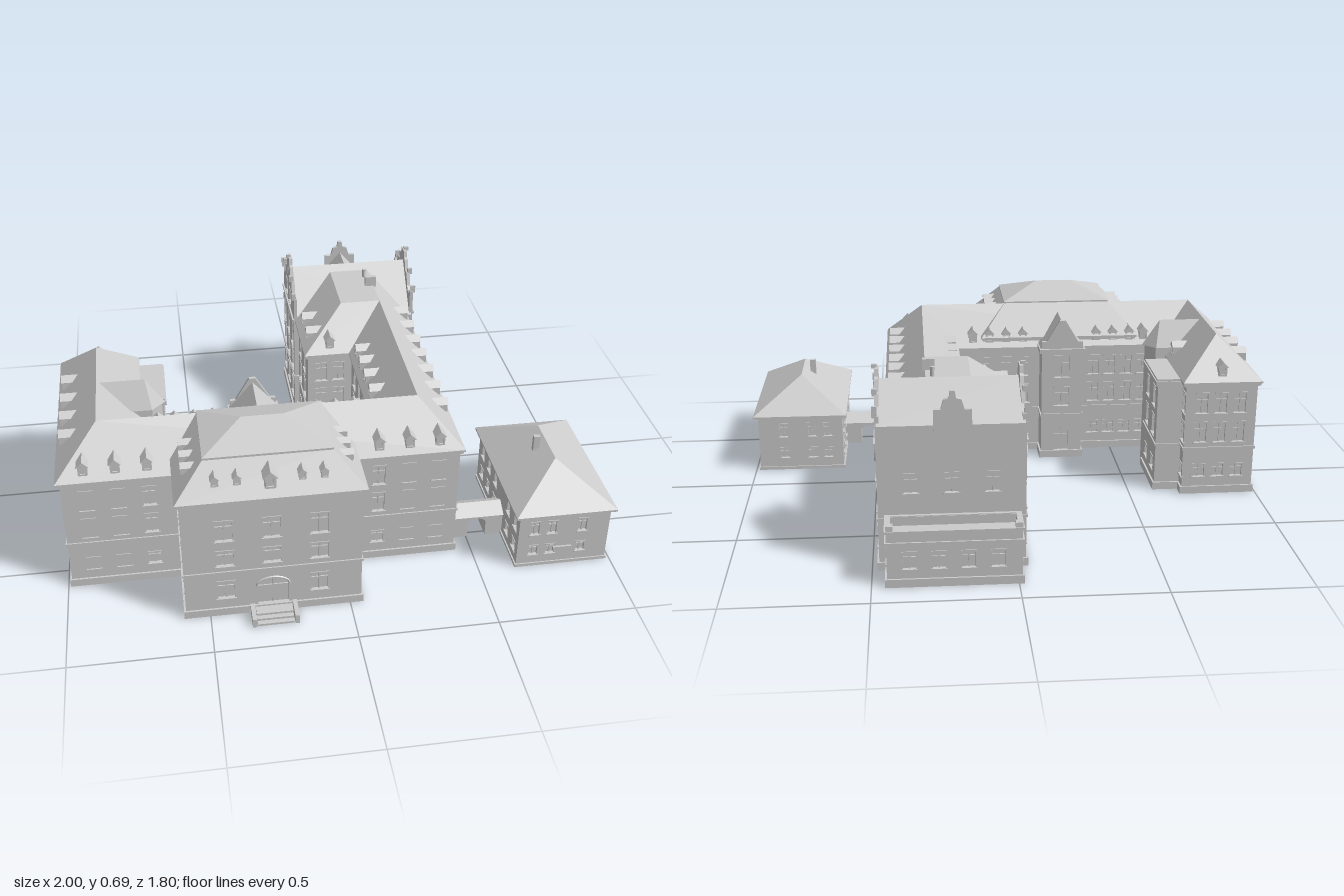
import * as THREE from 'three';
import { mergeGeometries } from 'three/addons/utils/BufferGeometryUtils.js';
import { ConvexGeometry } from 'three/addons/geometries/ConvexGeometry.js';

const EAVE = 0.465, RIDGE = 0.615;
const FLOORS = [[0.095, 0.05], [0.255, 0.08], [0.375, 0.08]]; // centre height, window height

export function createModel() {
  const model = new THREE.Group();
  model.name = 'building';
  const mat = new THREE.MeshStandardMaterial({ color: 0xcccccc, flatShading: true, side: THREE.DoubleSide });

  const add = (name, geo, parent = model) => {
    const m = new THREE.Mesh(geo, mat);
    m.name = name;
    parent.add(m);
    return m;
  };
  const boxGeo = (x, y, z, w, h, d) => new THREE.BoxGeometry(w, h, d).translate(x, y, z);
  const box = (name, x0, x1, y0, y1, z0, z1, parent) =>
    add(name, boxGeo((x0 + x1) / 2, (y0 + y1) / 2, (z0 + z1) / 2, x1 - x0, y1 - y0, z1 - z0), parent);
  const hull = (name, pts, parent) => add(name, new ConvexGeometry(pts.map(p => new THREE.Vector3(...p))), parent);
  const rect = ([x0, x1, z0, z1], y) => [[x0, y, z0], [x1, y, z0], [x1, y, z1], [x0, y, z1]];
  // hipped roof from an eave rectangle to a ridge line or smaller rectangle
  const roof = (name, a, y0, b, y1) => {
    const seen = new Set();
    const top = rect(b, y1).filter(p => !seen.has(p.join()) && seen.add(p.join()));
    return hull(name, [...rect(a, y0 - 0.008), ...rect(a, y0), ...top]);
  };
  const grid = (xs, rows = FLOORS, w = 0.045) => rows.flatMap(([y, h]) => xs.map(x => [x, y, w, h]));

  // horizontal ring: plinth, string course or cornice
  const ring = (name, [x0, x1, z0, z1], out, y, h, parent) => {
    const path = (S, o) => new S([[x0 - o, z0 - o], [x1 + o, z0 - o], [x1 + o, z1 + o], [x0 - o, z1 + o]]
      .map(([x, z]) => new THREE.Vector2(x, -z)));
    const s = path(THREE.Shape, out);
    s.holes.push(path(THREE.Path, -0.012));
    add(name, new THREE.ExtrudeGeometry(s, { depth: h, bevelEnabled: false }).rotateX(-Math.PI / 2).translate(0, y, 0), parent);
  };

  // one wall with recessed windows; windows are [x, y, w, h, arched]
  const facade = (name, x, z, rot, width, height, wins, top, parent) => {
    const g = new THREE.Group();
    g.name = name;
    const w2 = width / 2;
    const s = new THREE.Shape([[-w2, 0], [w2, 0], [w2, height], ...(top || []), [-w2, height]]
      .map(p => new THREE.Vector2(...p)));
    const parts = [];
    for (const [wx, wy, w, h, arched] of wins) {
      const hole = new THREE.Path();
      const a = w / 2, b = wy - h / 2, t = wy + h / 2;
      hole.moveTo(wx - a, b).lineTo(wx + a, b);
      if (arched) hole.lineTo(wx + a, t - a * 0.6).absellipse(wx, t - a * 0.6, a, a * 0.6, 0, Math.PI);
      else hole.lineTo(wx + a, t).lineTo(wx - a, t);
      hole.closePath();
      s.holes.push(hole);
      parts.push(boxGeo(wx, wy, -0.012, w + 0.004, h + 0.004, 0.003), boxGeo(wx, wy, -0.009, 0.005, h, 0.006),
        boxGeo(wx, wy + h * 0.17, -0.009, w, 0.005, 0.006), boxGeo(wx, b - 0.003, 0, w + 0.012, 0.006, 0.01));
      if (!arched) parts.push(boxGeo(wx, t + 0.003, 0, w + 0.008, 0.005, 0.006));
    }
    add(name + 'Wall', new THREE.ExtrudeGeometry(s, { depth: 0.014, bevelEnabled: false, curveSegments: 8 }).translate(0, 0, -0.014), g);
    if (parts.length) add(name + 'Windows', mergeGeometries(parts), g);
    g.position.set(x, 0, z);
    g.rotation.y = rot;
    parent.add(g);
  };

  // four walls, open below; window positions use the model's x or z
  const block = (name, r, h, wins = {}, tops = {}, trims = [[0.007, 0, 0.03], [0.005, 0.185, 0.01], [0.01, h - 0.018, 0.018]]) => {
    const [x0, x1, z0, z1] = r, cx = (x0 + x1) / 2, cz = (z0 + z1) / 2;
    const g = new THREE.Group();
    g.name = name;
    model.add(g);
    const sides = {
      front: [cx, z1, 0, x1 - x0, u => u - cx], back: [cx, z0, Math.PI, x1 - x0, u => cx - u],
      left: [x1, cz, Math.PI / 2, z1 - z0, u => cz - u], right: [x0, cz, -Math.PI / 2, z1 - z0, u => u - cz],
    };
    for (const [k, [x, z, rot, w, f]] of Object.entries(sides))
      facade(k, x, z, rot, w, h, (wins[k] || []).map(([u, ...rest]) => [f(u), ...rest]), tops[k], g);
    for (const [o, y, t] of trims) ring('trim', r, o, y, t, g);
    return g;
  };

  // small gabled dormer, its face at (x, z)
  const dormer = (x, y, z, rot, s = 1) => {
    const g = new THREE.Group();
    g.name = 'dormer';
    add('dormerBody', boxGeo(0, 0.018, -0.03, 0.034, 0.04, 0.06), g);
    add('dormerWindow', mergeGeometries([boxGeo(-0.012, 0.018, 0.002, 0.006, 0.034, 0.005),
      boxGeo(0.012, 0.018, 0.002, 0.006, 0.034, 0.005), boxGeo(0, 0.003, 0.002, 0.03, 0.006, 0.006)]), g);
    hull('dormerRoof', [-0.07, 0.006].flatMap(d => [[-0.022, 0.034, d], [0.022, 0.034, d], [0, 0.056, d]]), g);
    g.position.set(x, y, z);
    g.rotation.y = rot;
    g.scale.setScalar(s);
    model.add(g);
  };
  const H = Math.PI / 2, FRONT = 0, BACK = Math.PI, LEFT = H, RIGHT = -H;

  // main ranges
  const frontXs = [-0.9, -0.79, -0.68, 0.14, 0.25, 0.36];
  const courtXs = [-0.63, -0.56, -0.49, -0.42, -0.12, -0.05, 0.02, 0.09];
  const eastZs = [-0.35, -0.23, -0.11, 0, 0.12, 0.24, 0.36];
  const westZs = [-0.12, 0, 0.13, 0.25, 0.37, 0.49];
  block('frontRange', [-0.985, 0.435, 0.305, 0.585], EAVE, { front: grid(frontXs), back: grid(courtXs) });
  block('rightWing', [-0.985, -0.705, -0.205, 0.585], EAVE,
    { right: grid(westZs), back: grid([-0.92, -0.845, -0.77]), left: grid([-0.18, 0.26]) });
  block('leftWing', [0.165, 0.435, -0.5, 0.585], EAVE,
    { left: grid([...eastZs, 0.52]), right: grid([-0.07, 0.03, 0.13, 0.23]) });
  block('courtBlock', [-0.015, 0.3, -0.5, -0.145], EAVE, { right: grid([-0.36, -0.24]), front: grid([0.04, 0.11]) });
  roof('frontRoof', [-1, 0.45, 0.29, 0.6], EAVE, [-0.845, 0.3, 0.445, 0.445], RIDGE);
  roof('rightWingRoof', [-1, -0.69, -0.22, 0.6], EAVE, [-0.845, -0.845, -0.065, 0.445], RIDGE);
  roof('leftWingRoof', [0.15, 0.45, -0.57, 0.6], EAVE, [0.3, 0.3, -0.57, 0.445], RIDGE);
  roof('courtBlockRoof', [-0.03, 0.45, -0.57, -0.13], EAVE, [0.14, 0.3, -0.57, -0.28], RIDGE);

  // dormers on the main roofs
  frontXs.forEach(x => dormer(x, 0.485, 0.58, FRONT));
  [-0.63, -0.57, -0.5, -0.43, -0.12, -0.05, 0.02, 0.09].forEach(x => dormer(x, 0.485, 0.31, BACK));
  eastZs.forEach(z => dormer(0.43, 0.485, z, LEFT));
  [-0.07, 0.02, 0.12, 0.23].forEach(z => dormer(0.17, 0.485, z, RIGHT));
  [0, 0.13, 0.25, 0.37].forEach(z => dormer(-0.98, 0.485, z, RIGHT));
  dormer(-0.71, 0.485, 0.09, LEFT);
  dormer(-0.845, 0.485, -0.2, BACK);
  [-0.36, -0.24].forEach(z => dormer(-0.005, 0.485, z, RIGHT));
  dormer(0.075, 0.485, -0.15, FRONT);

  // entrance pavilion with mansard roof
  const sideWins = grid([0.65, 0.74], FLOORS, 0.035);
  block('pavilion', [-0.585, 0.04, 0.32, 0.815], 0.505, {
    front: [...grid([-0.44, -0.11], [[0.11, 0.075], [0.25, 0.065], [0.37, 0.085]], 0.06),
      ...grid([-0.275], [[0.25, 0.065], [0.37, 0.085]], 0.06), [-0.275, 0.085, 0.11, 0.13, true]],
    left: sideWins, right: sideWins });
  roof('pavilionLowerRoof', [-0.6, 0.055, 0.3, 0.83], 0.505, [-0.49, -0.055, 0.445, 0.73], 0.62);
  roof('pavilionUpperRoof', [-0.495, -0.05, 0.44, 0.735], 0.622, [-0.35, -0.2, 0.585, 0.585], 0.677);
  [-0.46, -0.385, -0.165, -0.09].forEach(x => dormer(x, 0.548, 0.795, FRONT, 0.75));
  dormer(-0.275, 0.535, 0.81, FRONT, 1.2);
  [0.56, 0.63, 0.7].forEach(z => { dormer(-0.565, 0.548, z, RIGHT, 0.75); dormer(0.02, 0.548, z, LEFT, 0.75); });
  [0, 1, 2].forEach(i => box('entranceStep', -0.34, -0.21, 0, 0.024 - i * 0.008, 0.815, 0.86 + i * 0.018));
  [-0.35, -0.2].forEach(x => box('stepWall', x - 0.008, x + 0.008, 0, 0.035, 0.815, 0.9));
  const doorArch = new THREE.TorusGeometry(0.058, 0.004, 4, 14, Math.PI).scale(1, 0.62, 1);
  add('doorArch', doorArch).position.set(-0.275, 0.117, 0.817);

  // rear stair tower with gable
  block('rearTower', [-0.36, -0.19, 0.21, 0.4], 0.48,
    { back: [...grid([-0.275], [[0.27, 0.08], [0.4, 0.09]], 0.06), [-0.275, 0.08, 0.06, 0.1, true]] },
    { back: [[0.085, 0.51], [0.065, 0.51], [0.012, 0.6], [-0.012, 0.6], [-0.065, 0.51], [-0.085, 0.51]] });
  hull('rearTowerRoof', [[-0.37, 0.475, 0.215], [-0.18, 0.475, 0.215], [-0.275, 0.585, 0.215],
    [-0.37, 0.475, 0.45], [-0.18, 0.475, 0.45], [-0.275, 0.585, 0.45]]);

  // courtyard bay and prow-shaped stair turret on the right wing
  block('courtBay', [-0.72, -0.605, -0.155, 0.095], 0.455, { left: grid([-0.09, 0.03]) });
  box('courtBayRoof', -0.72, -0.6, 0.455, 0.463, -0.16, 0.1);
  const prow = new THREE.Shape([[-0.75, -0.135], [-0.65, -0.135], [-0.612, -0.178], [-0.65, -0.22], [-0.75, -0.22]]
    .map(p => new THREE.Vector2(...p)));
  add('turretWalls', new THREE.ExtrudeGeometry(prow, { depth: 0.5, bevelEnabled: false }).rotateX(-H));
  hull('turretRoof', [[-0.845, 0.5, 0.128], [-0.65, 0.5, 0.128], [-0.6, 0.5, 0.178], [-0.65, 0.5, 0.228],
    [-0.845, 0.5, 0.228], [-0.845, 0.605, 0.178], [-0.67, 0.605, 0.178]]);

  // end block with shaped gables
  const half = [[0.17, 0.565], [0.148, 0.565], [0.138, 0.545], [0.11, 0.565], [0.092, 0.615], [0.06, 0.615],
    [0.045, 0.655], [0.03, 0.66], [0.024, 0.685]];
  const gable = [...half, ...half.map(([x, y]) => [-x, y]).reverse()];
  const gableZs = [-0.475, -0.595, -0.715];
  const gableWins = [...grid(gableZs, [[0.115, 0.075], [0.255, 0.085]], 0.055),
    ...gableZs.map(z => [z, 0.37, 0.055, 0.085, true]), ...grid([-0.545, -0.645], [[0.525, 0.06]], 0.035)];
  block('endBlock', [-0.035, 0.475, -0.765, -0.425], EAVE,
    { left: gableWins, right: gableWins, back: grid([0.08, 0.22, 0.36], [[0.32, 0.07]]) },
    { left: gable, right: gable }, [[0.007, 0, 0.03], [0.005, 0.185, 0.01]]);
  box('endBlockRearWall', -0.03, 0.47, EAVE, 0.53, -0.765, -0.75);
  hull('endBlockRoof', [-0.03, 0.47].flatMap(x =>
    [[x, 0.46, -0.42], [x, 0.64, -0.585], [x, 0.535, -0.778], [x, 0.525, -0.778]]));
  for (const x of [-0.035, 0.475]) {
    for (const z of gableZs)
      add('windowArch', new THREE.TorusGeometry(0.042, 0.005, 4, 10, Math.PI).rotateY(H)).position.set(x, 0.405, z);
    for (const [z, y, h] of [[-0.435, 0.56, 0.03], [-0.757, 0.56, 0.04], [-0.51, 0.61, 0.025], [-0.68, 0.61, 0.025], [-0.595, 0.68, 0.015]])
      box('pinnacle', x - 0.009, x + 0.009, y, y + h, z - 0.006, z + 0.006);
    add('gableRosette', new THREE.TorusGeometry(0.014, 0.004, 4, 12).rotateY(H)).position.set(x, 0.62, -0.595);
    box('gableCornice', x - 0.007, x + 0.007, 0.46, 0.47, -0.765, -0.425);
  }
  // rear wall dormer with stepped gable
  hull('rearGableRoof', [[0.15, 0.53, -0.77], [0.28, 0.53, -0.77], [0.215, 0.605, -0.77],
    [0.15, 0.53, -0.65], [0.28, 0.53, -0.65], [0.215, 0.605, -0.65]]);
  const step = [[0.065, 0.05], [0.065, 0.075], [0.04, 0.075], [0.03, 0.11], [0.012, 0.115], [0.008, 0.14]];
  const rearGable = new THREE.Shape([[-0.065, 0], [0.065, 0], ...step, ...step.map(([x, y]) => [-x, y]).reverse()]
    .map(p => new THREE.Vector2(...p)));
  add('rearGable', new THREE.ExtrudeGeometry(rearGable, { depth: 0.014, bevelEnabled: false })).position.set(0.215, 0.515, -0.78);

  // low terrace behind the end block
  const low = [[0.095, 0.06]];
  block('terrace', [-0.012, 0.447, -0.893, -0.765], 0.205,
    { back: grid([0.07, 0.17, 0.27, 0.37], low), left: grid([-0.83], low), right: grid([-0.83], low) },
    {}, [[0.007, 0, 0.03], [0.006, 0.155, 0.01], [0.006, 0.197, 0.01]]);
  box('terraceDeck', -0.01, 0.445, 0.165, 0.172, -0.89, -0.765);
  [0.0, 0.435].forEach(x => box('terracePost', x - 0.012, x + 0.012, 0.2, 0.225, -0.895, -0.871));

  // chimneys
  box('chimney', 0.265, 0.31, 0.58, 0.655, -0.432, -0.412);
  add('flue', new THREE.CylinderGeometry(0.008, 0.008, 0.06, 8)).position.set(0.275, 0.62, -0.5);
  box('annexChimney', 0.758, 0.782, 0.3, 0.385, 0.43, 0.447);

  // annex and arched link
  const annexRows = [[0.07, 0.04], [0.17, 0.055]];
  const annexSide = grid([0.22, 0.31, 0.4, 0.49, 0.58, 0.67], annexRows, 0.035);
  const annexEnd = grid([0.7, 0.765, 0.88], annexRows, 0.032);
  block('annex', [0.64, 0.982, 0.158, 0.718], 0.235, { left: annexSide, right: annexSide.filter(w => w[0] < 0.42 || w[0] > 0.54),
    front: annexEnd, back: annexEnd }, {}, [[0.005, 0, 0.012], [0.008, 0.222, 0.013]]);
  box('annexPanel', 0.775, 0.845, 0.062, 0.08, 0.715, 0.726);
  roof('annexRoof', [0.622, 1, 0.14, 0.735], 0.237, [0.811, 0.811, 0.329, 0.546], 0.355);
  const arch = new THREE.Shape();
  arch.moveTo(0.43, 0).lineTo(0.505, 0).lineTo(0.505, 0.06).absellipse(0.54, 0.06, 0.035, 0.02, Math.PI, 0, true);
  arch.lineTo(0.575, 0).lineTo(0.645, 0).lineTo(0.645, 0.1).lineTo(0.43, 0.1);
  add('linkArch', new THREE.ExtrudeGeometry(arch, { depth: 0.09, bevelEnabled: false })).position.z = 0.43;
  hull('linkRoof', [0.43, 0.645].flatMap(x => [[x, 0.095, 0.42], [x, 0.095, 0.53], [x, 0.127, 0.475]]));
  return model;
}
